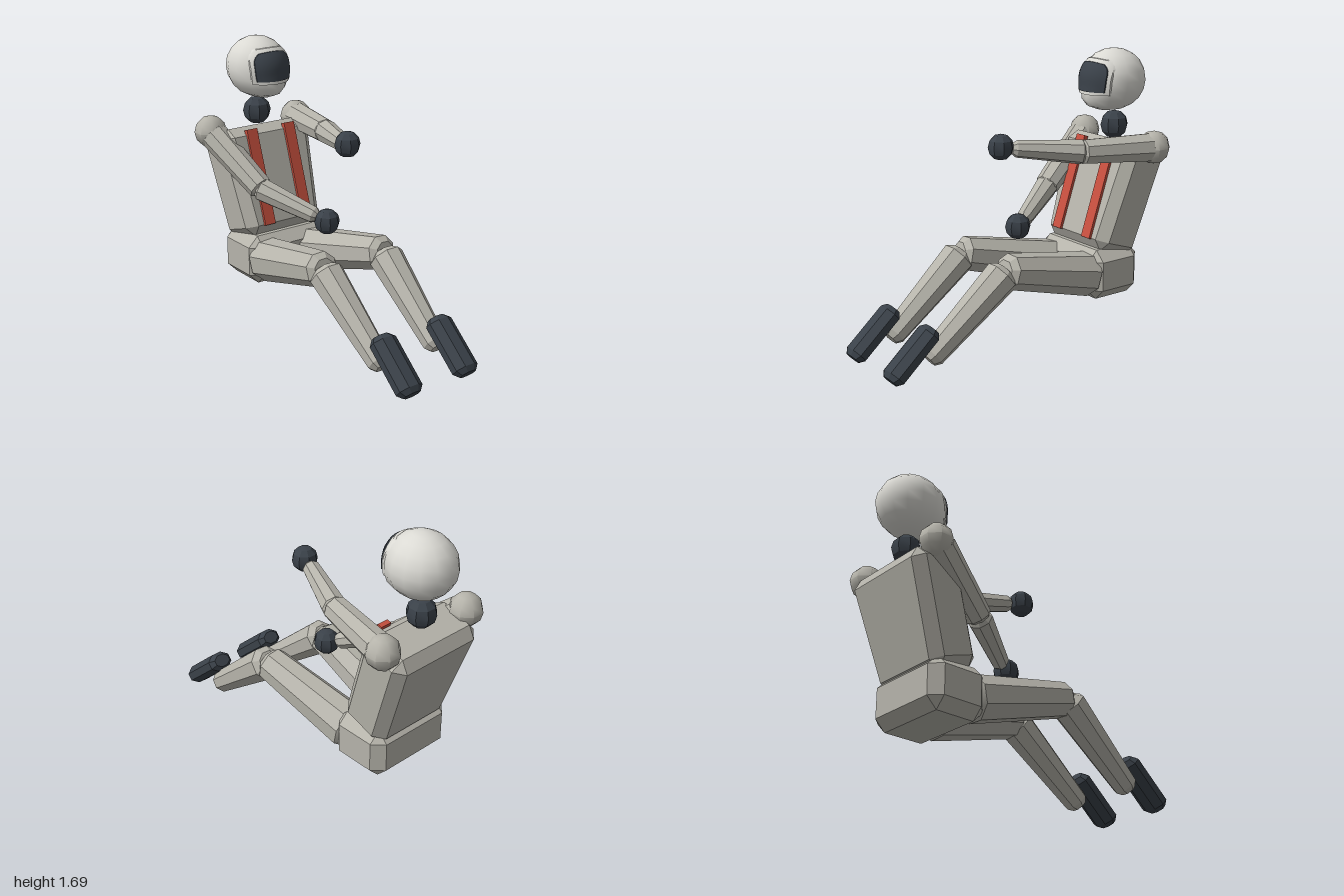
import * as THREE from 'three';
import { toCreasedNormals, mergeVertices } from 'three/addons/utils/BufferGeometryUtils.js';
import { ConvexGeometry } from 'three/addons/geometries/ConvexGeometry.js';

const mat = (name, color) => {
  const m = new THREE.MeshStandardMaterial({ color });
  m.name = name;
  return m;
};
const V = (x, y, z) => new THREE.Vector3(x, y, z);

export function createModel() {
  const suit = mat('suitGrey', 0xb6b4ab);
  const shell = mat('helmetWhite', 0xdbdad4);
  const dark = mat('darkSlate', 0x3a4149);
  const red = mat('strapRed', 0xc8503f);
  const root = new THREE.Group();
  root.name = 'seatedAstronaut';

  const add = (name, geo, material, parent = root) => {
    const mesh = new THREE.Mesh(geo, material);
    mesh.name = name;
    parent.add(mesh);
    return mesh;
  };

  // Eight-sided tapered limb with chamfered ends, running from a to b
  const limb = (name, a, b, r1, r2, material, e = 0.035, flat = 1) => {
    const len = a.distanceTo(b), k = 1 / Math.cos(Math.PI / 8);
    const profile = [[0, -e], [r1 * 0.65, -e], [r1, 0], [r2, len], [r2 * 0.65, len + e], [0, len + e]]
      .map(([r, y]) => new THREE.Vector2(r * k, y));
    const geo = new THREE.LatheGeometry(profile, 8, Math.PI / 8).scale(1, 1, flat);
    const mesh = add(name, toCreasedNormals(geo, 0.5), material);
    mesh.position.copy(a);
    mesh.quaternion.setFromUnitVectors(V(0, 1, 0), b.clone().sub(a).normalize());
    return mesh;
  };

  const ball = (name, p, r, material, crease) => {
    const geo = toCreasedNormals(new THREE.SphereGeometry(r * 1.04, 8, 6, Math.PI / 8), crease);
    add(name, geo, material).position.copy(p);
  };

  // Chamfered box whose width may differ between bottom and top
  const chamferBox = (wBottom, wTop, h, d, c) => {
    const pts = [];
    for (const sx of [-1, 1]) for (const sy of [-1, 1]) for (const sz of [-1, 1]) {
      const x = (sy > 0 ? wTop : wBottom) / 2, y = h / 2, z = d / 2;
      pts.push(V(sx * x, sy * (y - c), sz * (z - c)),
        V(sx * (x - c), sy * y, sz * (z - c)),
        V(sx * (x - c), sy * (y - c), sz * z));
    }
    return new ConvexGeometry(pts);
  };

  // Pelvis, and torso leaning back with two red straps
  add('pelvis', chamferBox(0.58, 0.58, 0.31, 0.38, 0.065), suit).position.set(0, 0.355, -0.61);
  const torso = new THREE.Group();
  torso.name = 'torso';
  torso.position.set(0, 0.79, -0.722);
  torso.rotation.x = -0.321;
  root.add(torso);
  add('chest', chamferBox(0.55, 0.64, 0.68, 0.32, 0.06), suit, torso);
  for (const s of [-1, 1]) {
    add('chestStrap', new THREE.BoxGeometry(0.075, 0.6, 0.03), red, torso)
      .position.set(s * 0.138, 0.015, 0.162);
  }

  // Neck
  ball('neck', V(0, 1.215, -0.805), 0.085, dark, 0.5);

  // Helmet: ellipsoid with the lower front pushed out as a chin
  const cy = 1.5, cz = -0.79, R = 0.19;
  const chin = (t) => (t > 0 ? 1 + 0.8 * t * t : 1);
  const helmet = new THREE.SphereGeometry(R, 14, 10, Math.PI / 14);
  helmet.deleteAttribute('uv');
  helmet.deleteAttribute('normal');
  const hp = helmet.attributes.position;
  for (let i = 0; i < hp.count; i++) {
    const z = hp.getZ(i) * 1.1;
    hp.setZ(i, z > 0 ? z * chin(-hp.getY(i) / R) : z);
  }
  const helmetGeo = mergeVertices(helmet, 1e-4);
  helmetGeo.computeVertexNormals();
  add('helmet', helmetGeo, shell).position.set(0, cy, cz);

  // Curved face plates following the helmet, with edges turned back into it
  const facePlate = (name, k, kv, lift, sink, material) => {
    const geo = new THREE.PlaneGeometry(2, 2, 10, 10);
    const p = geo.attributes.position;
    const clamp = (n) => THREE.MathUtils.clamp(n * 1.25, -1, 1);
    for (let i = 0; i < p.count; i++) {
      const edge = Math.max(Math.abs(p.getX(i)), Math.abs(p.getY(i))) > 0.99;
      const u = clamp(p.getX(i)), v = clamp(p.getY(i));
      const w = v > 0 ? 0.126 - 0.036 * v * v * v : 0.126 - 0.008 * v * v;
      const x = u * w * k;
      const y = 1.531 + v * kv - (v > 0 ? 0.01 * u * u * v : 0);
      const t = (cy - y) / R;
      const q = Math.max(0.1, 1 - (x / R) ** 2 - t * t);
      p.setXYZ(i, x, y, cz + 0.209 * Math.sqrt(q) * chin(t) + lift - (edge ? sink : 0));
    }
    add(name, toCreasedNormals(geo, 0.7), material);
  };
  facePlate('visorFrame', 1.13, 0.107, 0.01, 0.05, shell);
  facePlate('visor', 1, 0.088, 0.017, 0.008, dark);

  // Arms: the left one raised forward, the right one resting low
  const arms = [
    { side: 'left', s: 1, elbow: V(0.215, 1.135, -0.36), wrist: V(0.06, 1.175, 0.0), hand: V(0.03, 1.192, 0.09) },
    { side: 'right', s: -1, elbow: V(-0.215, 0.825, -0.44), wrist: V(-0.045, 0.71, -0.14), hand: V(-0.005, 0.683, -0.06) },
  ];
  for (const { side, s, elbow, wrist, hand } of arms) {
    const shoulder = V(s * 0.322, 1.12, -0.84);
    ball(side + 'Shoulder', shoulder, 0.097, suit, 0.9);
    limb(side + 'UpperArm', shoulder.clone().lerp(elbow, 0.08), shoulder.clone().lerp(elbow, 0.97), 0.083, 0.07, suit, 0.025);
    limb(side + 'Forearm', elbow, wrist, 0.068, 0.048, suit, 0.025);
    ball(side + 'Hand', hand, 0.075, dark, 0.5);
  }

  // Legs
  for (const s of [-1, 1]) {
    const side = s > 0 ? 'left' : 'right';
    limb(side + 'Thigh', V(s * 0.17, 0.355, -0.45), V(s * 0.222, 0.507, 0.18), 0.127, 0.098, suit);
    limb(side + 'Shin', V(s * 0.222, 0.49, 0.225), V(s * 0.205, 0.115, 0.695), 0.098, 0.068, suit);
    limb(side + 'Boot', V(s * 0.205, 0.05, 0.95), V(s * 0.205, 0.25, 0.72), 0.08, 0.08, dark, 0.032, 0.72);
  }
  return root;
}
